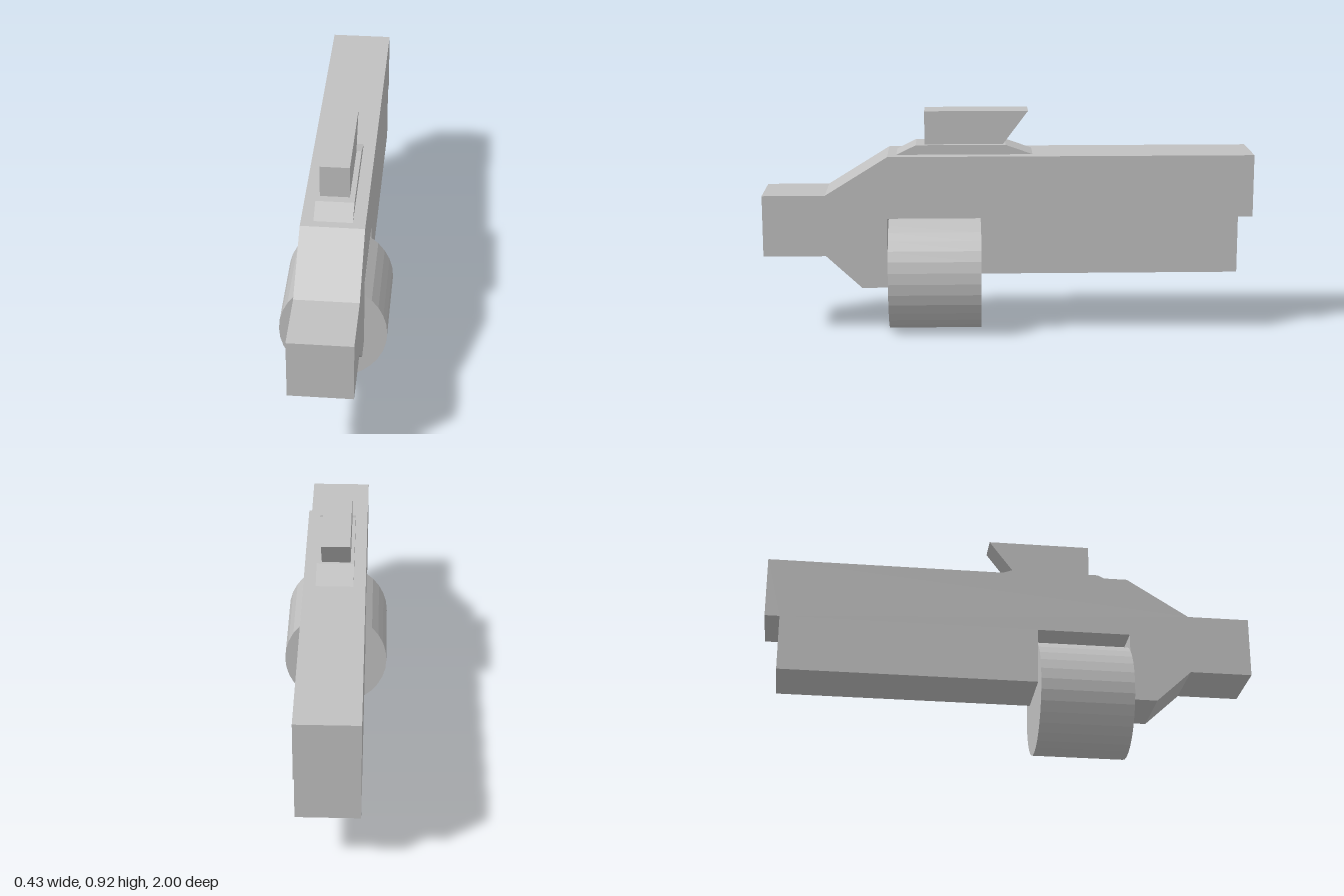
import * as THREE from 'three';

const grey = new THREE.MeshStandardMaterial({ color: 0xc0c0c0, flatShading: true });
grey.name = 'light grey';

// Side profile given as [z, y] points, extruded across x from xMin to xMax
function slab(name, points, xMin, xMax) {
  const shape = new THREE.Shape(points.map(([z, y]) => new THREE.Vector2(z, y)));
  const geometry = new THREE.ExtrudeGeometry(shape, { depth: xMax - xMin, bevelEnabled: false });
  geometry.rotateY(-Math.PI / 2).translate(xMax, 0, 0);
  const mesh = new THREE.Mesh(geometry, grey);
  mesh.name = name;
  return mesh;
}

export function createModel() {
  const group = new THREE.Group();
  group.name = 'blockyDrumDevice';

  // Long body with a sloped nose, a drum recess and a stepped rear
  group.add(slab('body', [
    [1, 0.335], [1, 0.587], [0.745, 0.587], [0.49, 0.745], [-1, 0.745],
    [-1, 0.49], [-0.94, 0.49], [-0.94, 0.257], [0.112, 0.257], [0.112, 0.49],
    [0.495, 0.49], [0.495, 0.2], [0.6, 0.2], [0.745, 0.335],
  ], -0.126, 0.125));

  // Raised mount and the block on top with its undercut rear
  group.add(slab('topMount', [
    [0.455, 0.745], [0.375, 0.784], [0.01, 0.784], [-0.1, 0.745],
  ], -0.077, 0.075));
  group.add(slab('topBlock', [
    [0.34, 0.784], [0.34, 0.92], [-0.082, 0.92], [0.02, 0.784],
  ], -0.063, 0.054));

  // Slightly oval drum lying along z
  const drumGeometry = new THREE.CylinderGeometry(1, 1, 0.38, 32);
  drumGeometry.rotateX(Math.PI / 2).scale(0.217, 0.235, 1).translate(0, 0.235, 0.301);
  const drum = new THREE.Mesh(drumGeometry, grey);
  drum.name = 'drum';
  group.add(drum);

  return group;
}
